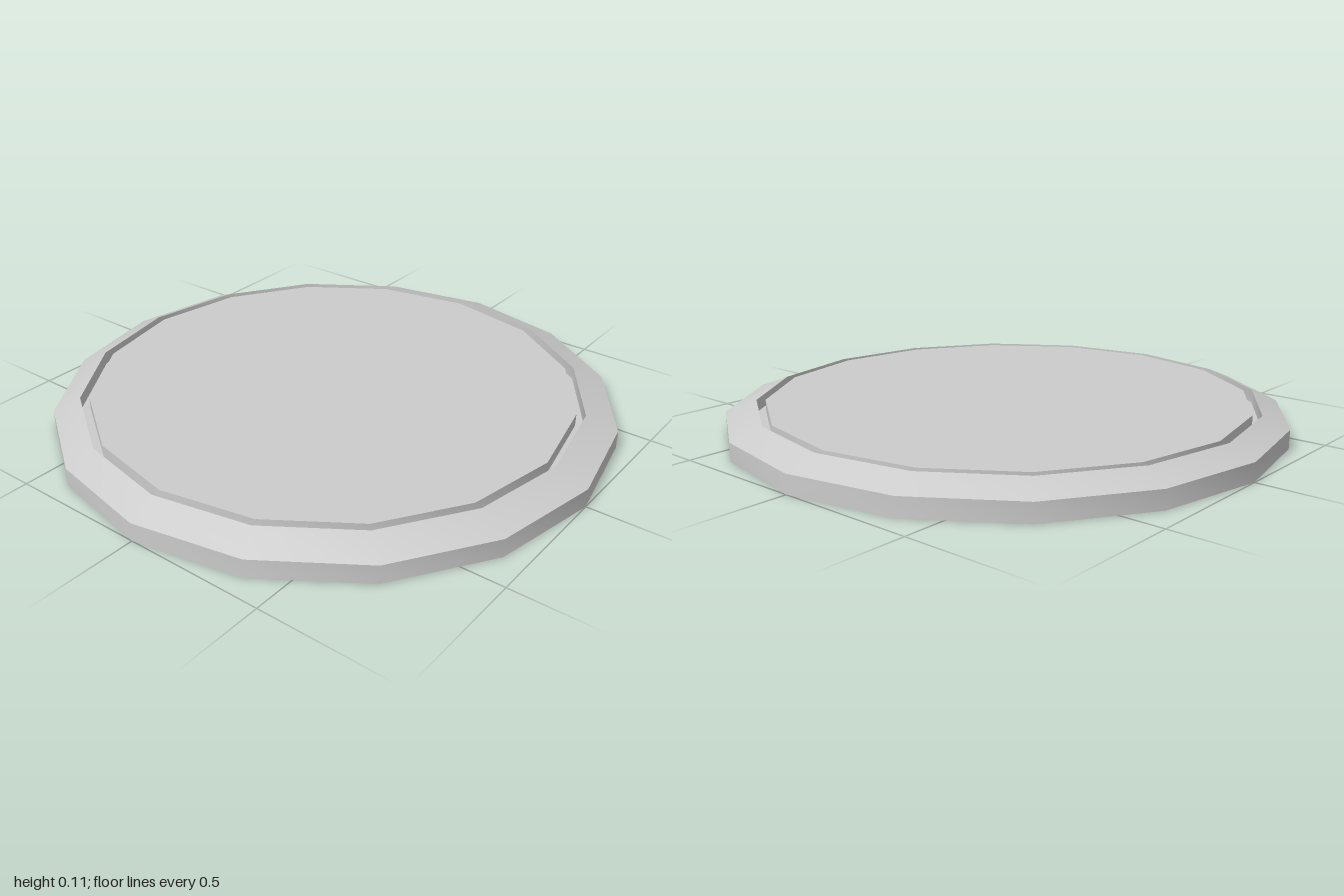
import * as THREE from 'three';
import { toCreasedNormals } from 'three/addons/utils/BufferGeometryUtils.js';

const SIDES = 16;
const INNER_SHIFT = -0.011; // the groove and panel sit slightly towards the back

// Sixteen-sided turned part; points inside the rim's outer edge are shifted in z
function turned(name, profile) {
  const lathe = new THREE.LatheGeometry(profile.map(([r, y]) => new THREE.Vector2(r, y)), SIDES);
  const pos = lathe.attributes.position;
  for (let i = 0; i < pos.count; i++) {
    const r = Math.hypot(pos.getX(i), pos.getZ(i));
    if (r < 0.95 && pos.getY(i) > 0.01) pos.setZ(i, pos.getZ(i) + INNER_SHIFT);
  }
  const mesh = new THREE.Mesh(
    toCreasedNormals(lathe, Math.PI / 6),
    new THREE.MeshStandardMaterial({ color: 0xcccccc })
  );
  mesh.name = name;
  return mesh;
}

export function createModel() {
  const group = new THREE.Group();
  group.name = 'roundPlate';

  // Flat underside, upright edge, sloping rim, then the groove's wall and floor
  group.add(turned('rim', [
    [0, 0], [1, 0], [1, 0.066], [0.897, 0.108], [0.897, 0.063], [0.865, 0.063],
  ]));

  // Raised flat panel inside the groove
  group.add(turned('topPanel', [[0.865, 0.063], [0.865, 0.108], [0, 0.108]]));

  return group;
}
